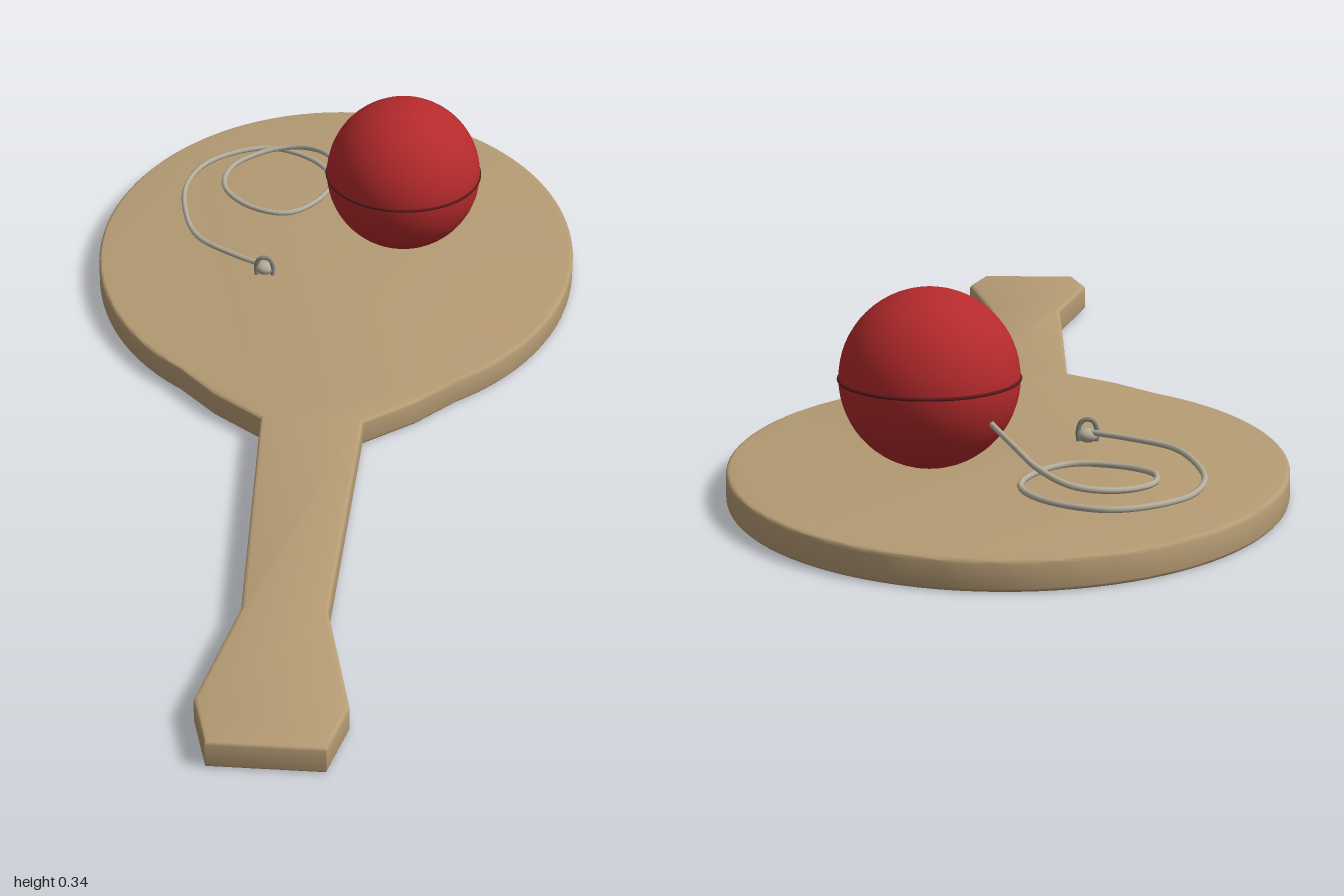
import * as THREE from 'three';
import { toCreasedNormals } from 'three/addons/utils/BufferGeometryUtils.js';

const material = (color) => new THREE.MeshStandardMaterial({ color });

export function createModel() {
  const model = new THREE.Group();
  const wood = material(0xb59b74);
  const red = material(0xb52a2c);
  const seamRed = material(0x5a1a1c);
  const cord = material(0xb5ae9c);
  const metal = material(0x85857f);

  const add = (name, geometry, mat, x = 0, y = 0, z = 0) => {
    const mesh = new THREE.Mesh(geometry, mat);
    mesh.name = name;
    mesh.position.set(x, y, z);
    model.add(mesh);
    return mesh;
  };

  // Paddle: half outline from tip to handle end, mirrored into a closed shape
  const half = [];
  const steps = 40;
  const endAngle = 2.56;
  for (let i = 0; i <= steps; i++) {
    const a = (i / steps) * endAngle;
    half.push([0.455 * Math.sin(a), -0.46 - 0.54 * Math.cos(a)]);
  }
  half.push([0.18, 0.065], [0.09, 0.135], [0.07, 0.67], [0.12, 0.9], [0.092, 1]);
  const mirrored = half.slice(1).reverse().map(([x, z]) => [-x, z]);
  const outline = [...half, ...mirrored].map(([x, z]) => new THREE.Vector2(x, z));
  const bevel = 0.006;
  const paddle = new THREE.ExtrudeGeometry(new THREE.Shape(outline), {
    depth: 0.05 - 2 * bevel,
    bevelThickness: bevel,
    bevelSize: bevel,
    bevelOffset: -bevel,
    bevelSegments: 3,
  });
  paddle.rotateX(Math.PI / 2);
  add('paddle', toCreasedNormals(paddle, 0.6), wood, 0, 0.05 - bevel, 0);

  // Ball with a thin seam around its middle
  const ball = [0.125, 0.195, -0.495];
  add('ball', new THREE.SphereGeometry(0.146, 48, 32), red, ...ball);
  const seam = new THREE.TorusGeometry(0.1455, 0.003, 8, 64).rotateX(Math.PI / 2);
  add('ballSeam', seam, seamRed, ...ball);

  // Elastic string: flat outer loop, inner loop, then rising into the ball
  const path = [
    [-0.128, 0.067, -0.345], [-0.19, 0.067, -0.38], [-0.265, 0.067, -0.44],
    [-0.3, 0.067, -0.53], [-0.31, 0.067, -0.645], [-0.272, 0.067, -0.74],
    [-0.165, 0.067, -0.8], [-0.068, 0.067, -0.757], [-0.025, 0.067, -0.677],
    [-0.05, 0.067, -0.593], [-0.105, 0.067, -0.543], [-0.18, 0.069, -0.562],
    [-0.233, 0.074, -0.624], [-0.226, 0.078, -0.7], [-0.165, 0.084, -0.755],
    [-0.105, 0.093, -0.762], [-0.055, 0.108, -0.725], [-0.015, 0.125, -0.655],
    [0.03, 0.145, -0.57],
  ].map((p) => new THREE.Vector3(...p));
  const curve = new THREE.CatmullRomCurve3(path);
  add('string', new THREE.TubeGeometry(curve, 160, 0.0052, 8), cord);

  // Staple holding the string, with the knot beneath it
  const staplePath = new THREE.CatmullRomCurve3([
    [-0.015, 0.045], [-0.015, 0.072], [-0.009, 0.084], [0, 0.087],
    [0.009, 0.084], [0.015, 0.072], [0.015, 0.045],
  ].map(([x, y]) => new THREE.Vector3(x, y, 0)));
  add('staple', new THREE.TubeGeometry(staplePath, 32, 0.004, 8), metal, -0.128, 0, -0.34);
  const knot = new THREE.SphereGeometry(0.015, 16, 12).scale(1.15, 0.8, 1);
  add('stringKnot', knot, cord, -0.128, 0.061, -0.345);

  return model;
}
